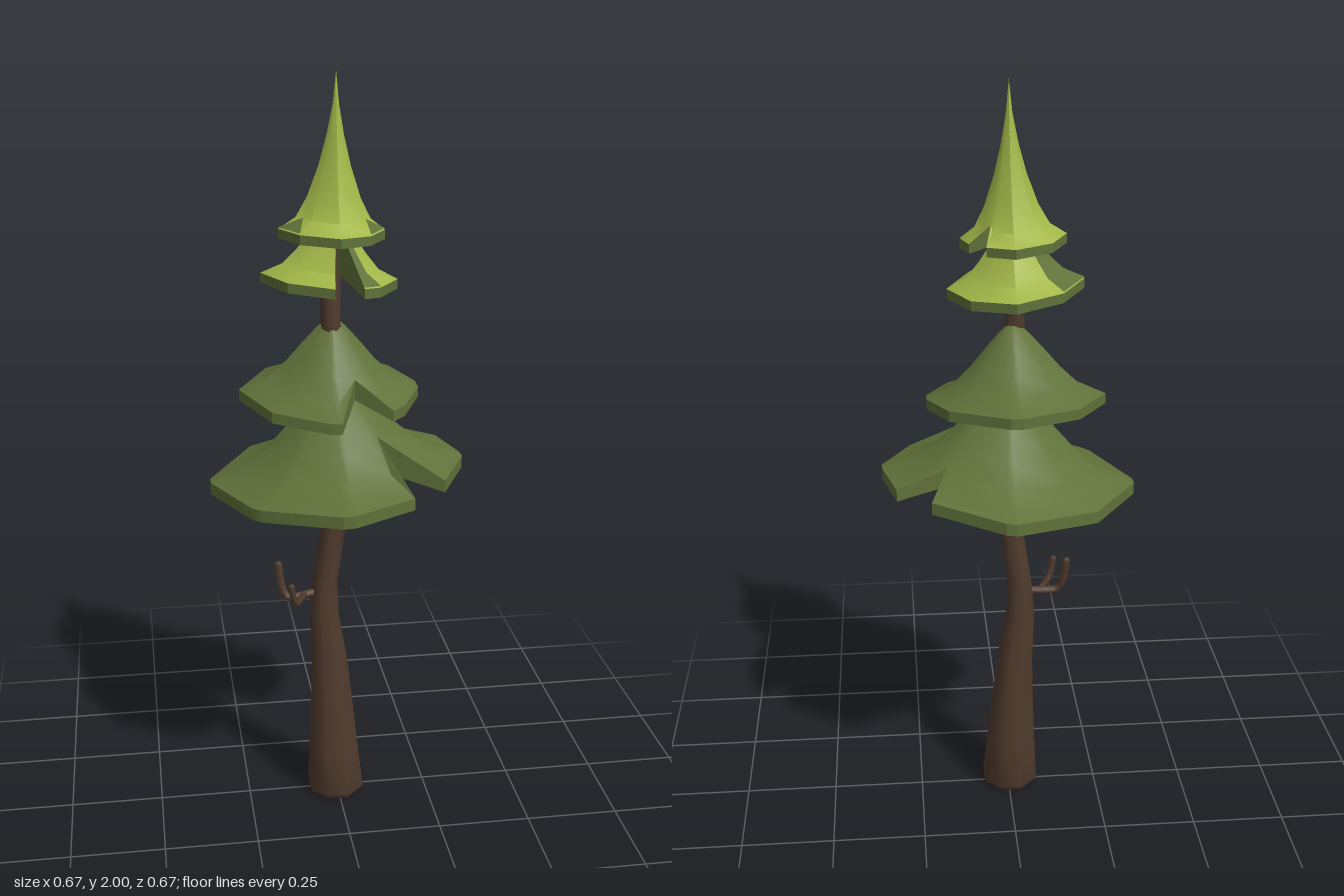
import * as THREE from 'three';
import { mergeGeometries, toCreasedNormals } from 'three/addons/utils/BufferGeometryUtils.js';

const V = (x, y, z) => new THREE.Vector3(x, y, z);

// Skin a stack of rings (counter-clockwise seen from above, listed top to bottom)
function loft(rings, crease, closed = true) {
  const pos = [];
  const tri = (a, b, c) => {
    const area = b.clone().sub(a).cross(c.clone().sub(a)).length();
    if (area > 1e-9) for (const p of [a, b, c]) pos.push(p.x, p.y, p.z);
  };
  for (let k = 0; k < rings.length - 1; k++) {
    const n = rings[k].length;
    for (let i = 0; i < (closed ? n : n - 1); i++) {
      const j = (i + 1) % n;
      tri(rings[k][i], rings[k + 1][i], rings[k + 1][j]);
      tri(rings[k][i], rings[k + 1][j], rings[k][j]);
    }
  }
  const g = new THREE.BufferGeometry();
  g.setAttribute('position', new THREE.Float32BufferAttribute(pos, 3));
  return toCreasedNormals(g, crease);
}

// Trunk cross-sections follow a bent axis
function trunkGeometry() {
  const sides = 8;
  const ring = (y, x, z, r) => Array.from({ length: sides }, (_, i) => {
    const a = (i + 0.5) / sides * Math.PI * 2;
    return V(x + Math.cos(a) * r, y, z - Math.sin(a) * r);
  });
  const axis = new THREE.CatmullRomCurve3([
    V(-0.005, 0, 0.008), V(-0.019, 0.4, -0.002), V(-0.035, 0.6, 0),
    V(0.008, 0.97, 0.012), V(-0.02, 1.4, 0.024), V(-0.01, 1.6, 0.012)]);
  const rings = [];
  for (let i = 14; i >= 0; i--) {
    const p = axis.getPoint(i / 14);
    // Wide foot easing into a slender stem
    const r = 0.024 + 0.018 * (1 - p.y / 1.6) + 0.039 * Math.max(0, 1 - p.y / 0.65) ** 1.1;
    rings.push(ring(Math.max(p.y, 0.015), p.x, p.z, r));
  }
  rings.push(ring(0, -0.005, 0.008, 0.07), ring(0, -0.005, 0.008, 0));
  return loft(rings, 0.85);
}

// Upturned dead twig with a rounded tip
function twigGeometry(radius, points) {
  const tube = new THREE.TubeGeometry(new THREE.CatmullRomCurve3(points, false, 'centripetal'), 12, radius, 6);
  const tip = new THREE.SphereGeometry(radius, 6, 4);
  tip.translate(...points[points.length - 1].toArray());
  return mergeGeometries([tube, tip]);
}

// Foliage tier: the rim is an outline of [x, z] on a tilted plane; [x, z, true] is the tip of a V notch.
// The surface drops from apex to rim along a sine curve; a lower bend gives a sharper spire.
const steps = [0, 0.06, 0.16, 0.3, 0.5, 0.7, 1];
function tierShape({ apex, bend, rimY, tiltX, tiltZ, thick, rise, outline }) {
  const n = outline.length;
  const rimPoint = ([x, z]) => V(x, rimY + tiltX * x + tiltZ * z, z);
  const cross = (a, b) => a.x * b.z - a.z * b.x;
  const rim = outline.map((o, i) => {
    const p = rimPoint(o);
    if (!o[2]) return { p, reach: 1 };
    // A notch stops part of the way to the chord between its neighbours
    const a = rimPoint(outline[(i + n - 1) % n]), b = rimPoint(outline[(i + 1) % n]);
    const d = p.clone().sub(apex);
    const u = -cross(a.clone().sub(apex), d) / cross(b.clone().sub(a), d);
    const q = a.lerp(b, u);
    return { p: q, reach: Math.hypot(d.x, d.z) / Math.hypot(q.x - apex.x, q.z - apex.z) };
  });
  const place = (p, t, y) => V(apex.x + (p.x - apex.x) * t, y, apex.z + (p.z - apex.z) * t);
  const upper = (p, t) => place(p, t, apex.y + (p.y - apex.y) * Math.sin(t * Math.PI / 2) ** bend);
  const lower = (p, t) => place(p, t, rimY + (p.y - rimY) * t - thick + rise * (1 - t));
  const ring = (surface, t) => rim.map(({ p, reach }) => surface(p, Math.min(t, reach)));
  return { rim, upper, lower, ring };
}

function buildTier(name, spec, topMat, underMat) {
  const { upper, lower, ring } = tierShape(spec);
  const top = new THREE.Mesh(loft(steps.map(t => ring(upper, t)), 0.6), topMat);
  top.name = name + 'Needles';
  // Rim band and shallow underside
  const band = loft([ring(upper, 1), ring(lower, 1)], 0.4);
  const base = loft([ring(lower, 1), ring(lower, 0)], 0.4);
  const underside = new THREE.Mesh(mergeGeometries([band, base]), underMat);
  underside.name = name + 'Underside';
  const group = new THREE.Group();
  group.name = name;
  group.add(top, underside);
  return group;
}

// Thin dark skin on one facet of a tier, from step t0 to the rim; tapered patches start at a point
function patchGeometry(spec, i, t0, tapered) {
  const { rim, upper } = tierShape(spec);
  const rows = steps.filter(t => t >= t0).map(t => {
    const a = upper(rim[i].p, t), b = upper(rim[i + 1].p, t);
    const inset = tapered ? 0.5 * (1 - t) / (1 - t0) : 0;
    return [a.clone().lerp(b, inset), b.clone().lerp(a, inset)].map(p => p.setY(p.y + 0.004));
  });
  return loft(rows, 0.6, false);
}

export function createModel() {
  const material = (name, color) => {
    const m = new THREE.MeshStandardMaterial({ color });
    m.name = name;
    return m;
  };
  const bark = material('bark', 0x503b2d);
  const darkGreen = material('dark needles', 0x61723a);
  const lightGreen = material('light needles', 0xa3b748);

  const model = new THREE.Group();
  model.name = 'pineTree';
  const add = (name, geometry, mat) => {
    const mesh = new THREE.Mesh(geometry, mat);
    mesh.name = name;
    model.add(mesh);
  };

  // Trunk and dead branch
  add('trunk', trunkGeometry(), bark);
  add('tallTwig', twigGeometry(0.011, [V(-0.05, 0.617, 0.005), V(-0.138, 0.612, 0.018),
    V(-0.15, 0.63, 0.014), V(-0.161, 0.702, 0.005)]), bark);
  add('shortTwig', twigGeometry(0.009, [V(-0.09, 0.615, 0.012), V(-0.12, 0.615, 0.076),
    V(-0.128, 0.635, 0.083), V(-0.134, 0.67, 0.086)]), bark);

  // Two wide dark tiers
  model.add(buildTier('bottomFoliage', {
    apex: V(0, 1.22, 0), bend: 1.4, thick: 0.032, rise: 0.1, rimY: 0.972, tiltX: 0.08, tiltZ: -0.025,
    outline: [[0.03, -0.333], [0, -0.335], [-0.21, -0.235], [-0.335, -0.03], [-0.335, 0],
      [-0.245, 0.2], [-0.22, 0.225], [-0.03, 0.33], [0, 0.332], [0.16, 0.27], [0.09, 0.107, true],
      [0.255, 0.183], [0.333, 0.03], [0.333, 0], [0.297, -0.145], [0.165, -0.115, true], [0.21, -0.22]],
  }, darkGreen, darkGreen));
  model.add(buildTier('middleFoliage', {
    apex: V(-0.015, 1.39, 0.015), bend: 1.4, thick: 0.028, rise: 0.08, rimY: 1.195, tiltX: 0, tiltZ: -0.095,
    outline: [[0.01, -0.23], [-0.02, -0.23], [-0.17, -0.155], [-0.255, -0.01], [-0.185, 0.15],
      [-0.05, 0.235], [-0.02, 0.24], [0.03, 0.114, true], [0.12, 0.172], [0.155, 0.14],
      [0.212, 0.02], [0.212, -0.02], [0.16, -0.14]],
  }, darkGreen, darkGreen));

  // Two small light tiers, the last one drawn up into a spire
  const skirt = {
    apex: V(-0.01, 1.66, 0.01), bend: 1.4, thick: 0.025, rise: 0.05, rimY: 1.491, tiltX: -0.07, tiltZ: 0.03,
    outline: [[-0.01, -0.157], [-0.13, -0.105], [-0.195, 0], [-0.14, 0.13], [-0.03, 0.188],
      [-0.006, 0.03, true], [0.045, 0.17], [0.09, 0.14], [0.155, 0.015], [0.1, -0.1]],
  };
  const crown = {
    apex: V(-0.003, 2, 0.01), bend: 0.66, thick: 0.024, rise: 0.04, rimY: 1.613, tiltX: -0.03, tiltZ: 0,
    outline: [[-0.01, -0.123], [-0.105, -0.075], [-0.15, 0.015], [-0.105, 0.1], [-0.01, 0.15],
      [0.07, 0.11], [0.12, 0.02], [0.1, -0.045], [0.045, -0.04, true], [0.06, -0.085]],
  };
  model.add(buildTier('upperFoliage', skirt, lightGreen, darkGreen));
  model.add(buildTier('topFoliage', crown, lightGreen, darkGreen));

  // Dark facets beside the skirt's gap and at its back, and on the crown's front corners
  add('backDarkFacet', patchGeometry(skirt, 1, 0.16, false), darkGreen);
  add('frontDarkFacet', patchGeometry(skirt, 6, 0.16, false), darkGreen);
  add('rightDarkPatch', patchGeometry(crown, 2, 0.7, true), darkGreen);
  add('leftDarkPatch', patchGeometry(crown, 5, 0.7, true), darkGreen);
  return model;
}
